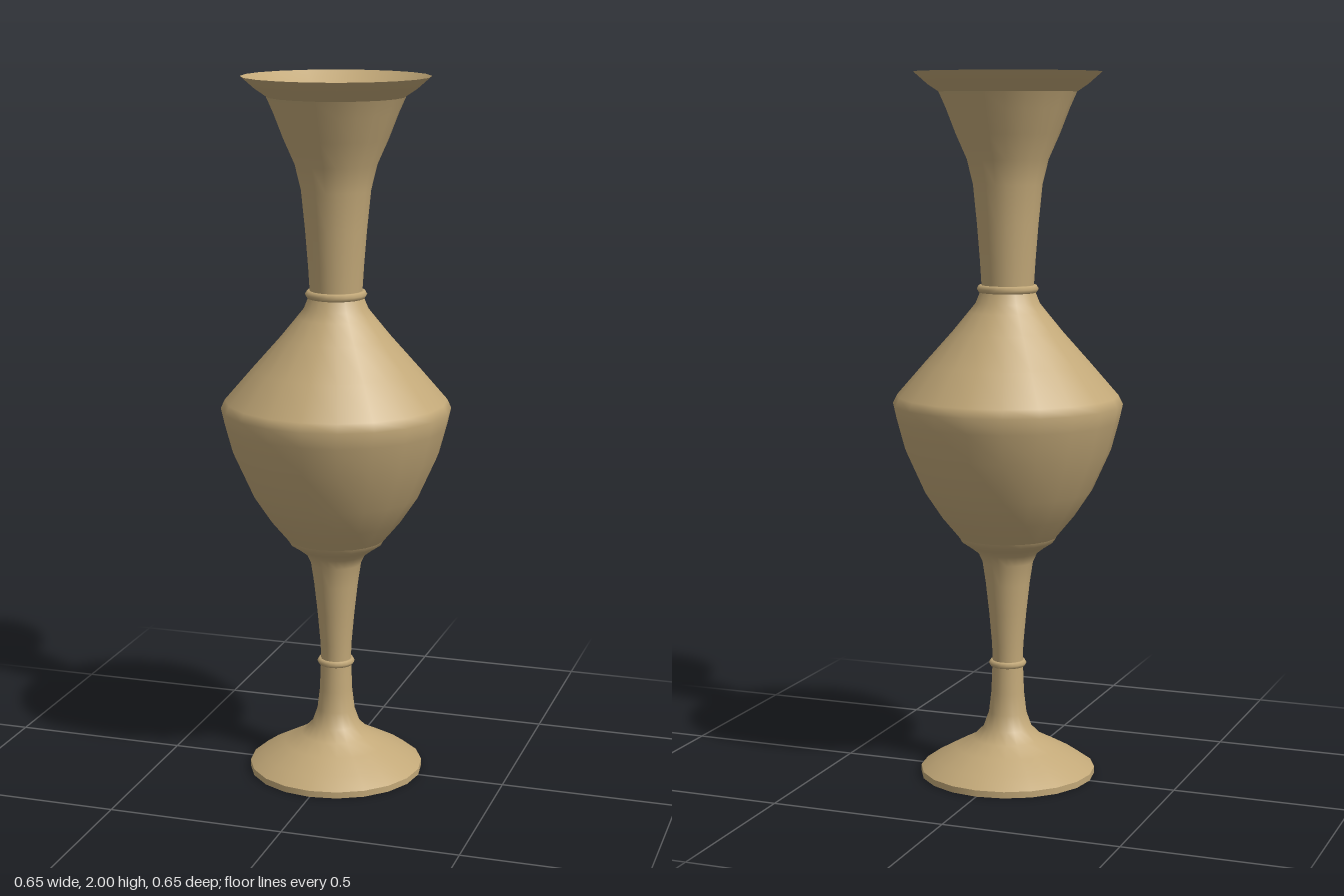
import * as THREE from 'three';

export function createModel() {
  const vase = new THREE.Group();
  vase.name = 'vase';

  const clay = new THREE.MeshStandardMaterial({ color: 0xc2a878, side: THREE.DoubleSide });
  clay.name = 'tan clay';

  // Turned shell from [radius, height] pairs, listed bottom to top
  function turn(name, profile, sides = 20) {
    const points = profile.map(([r, y]) => new THREE.Vector2(r, y));
    const mesh = new THREE.Mesh(new THREE.LatheGeometry(points, sides), clay);
    mesh.name = name;
    vase.add(mesh);
  }

  // Rounded band around the shaft
  function band(name, radius, thickness, y) {
    const geometry = new THREE.TorusGeometry(radius, thickness, 6, 20);
    geometry.rotateX(Math.PI / 2);
    const mesh = new THREE.Mesh(geometry, clay);
    mesh.name = name;
    mesh.position.y = y;
    vase.add(mesh);
  }

  // Flared foot with a flat underside
  turn('footUnderside', [[0, 0], [0.25, 0]]);
  turn('footEdge', [[0.25, 0], [0.25, 0.018]]);
  turn('foot', [[0.25, 0.018], [0.21, 0.046], [0.15, 0.079], [0.1, 0.105], [0.07, 0.135],
    [0.054, 0.18], [0.047, 0.24], [0.044, 0.32]]);

  // Slim stem and its band
  band('stemBand', 0.044, 0.01, 0.325);
  turn('stem', [[0.043, 0.325], [0.045, 0.38], [0.053, 0.47], [0.063, 0.56], [0.072, 0.62],
    [0.085, 0.648], [0.11, 0.667], [0.133, 0.682], [0.14, 0.695]]);

  // Full body, widest at the shoulder
  turn('body', [[0.14, 0.695], [0.19, 0.755], [0.24, 0.83], [0.292, 0.945], [0.315, 1.03],
    [0.325, 1.075], [0.313, 1.1], [0.235, 1.19], [0.155, 1.28], [0.11, 1.335],
    [0.09, 1.36], [0.076, 1.395]]);

  // Neck band and trumpet neck
  band('neckBand', 0.075, 0.012, 1.4);
  turn('neck', [[0.073, 1.4], [0.078, 1.48], [0.086, 1.58], [0.097, 1.69], [0.114, 1.76],
    [0.145, 1.83], [0.172, 1.9], [0.192, 1.945]]);

  // Spreading lip
  turn('lip', [[0.192, 1.945], [0.222, 1.965], [0.262, 2]]);

  return vase;
}
